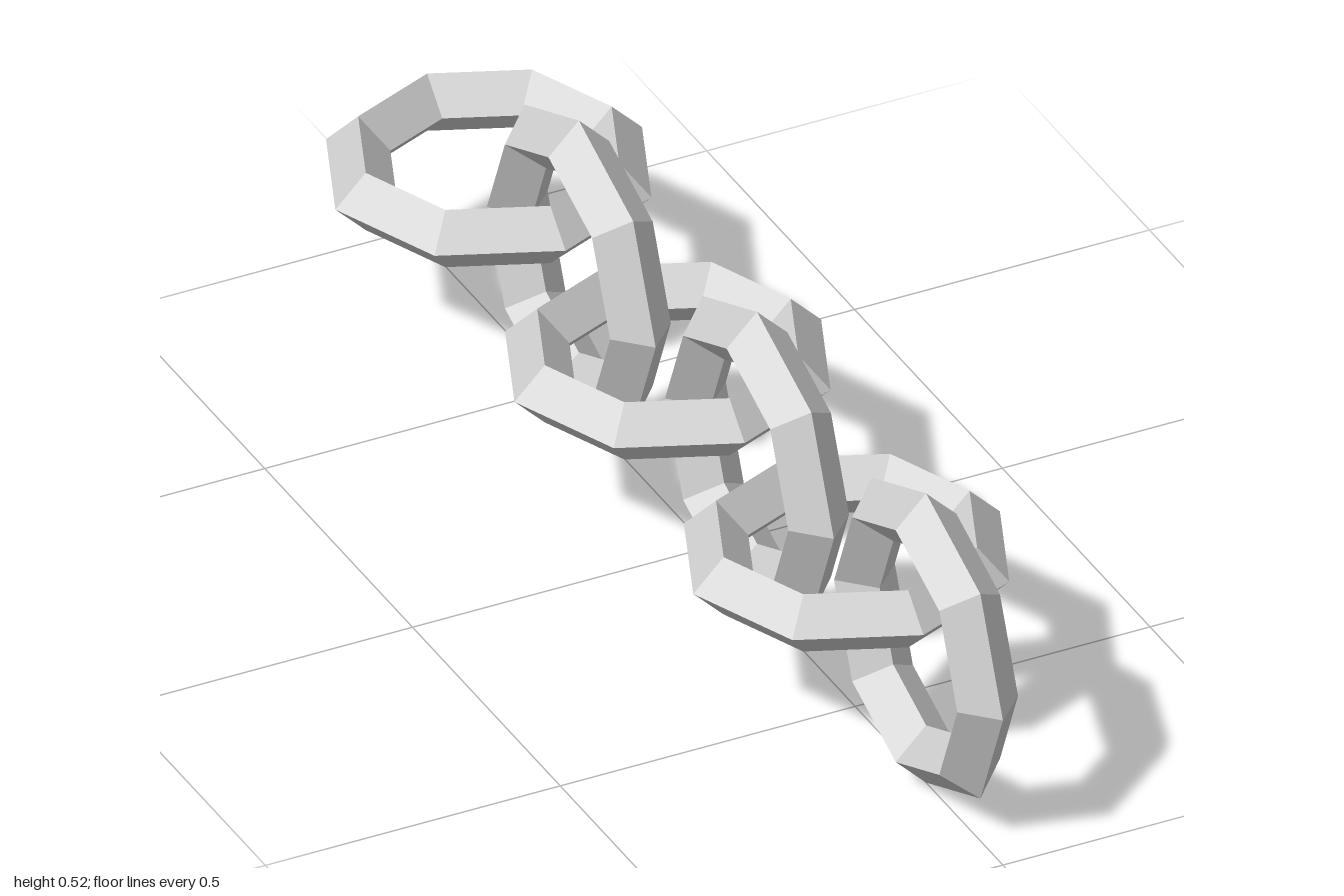
import * as THREE from 'three';

export function createModel() {
  const group = new THREE.Group();
  group.name = 'chain';
  const material = new THREE.MeshStandardMaterial({ color: 0xcccccc, flatShading: true });

  // One link: octagonal ring with a diamond cross-section
  const ring = 0.2085, tube = 0.0515;
  const upright = new THREE.TorusGeometry(ring, tube, 4, 8).rotateY(Math.PI / 2);
  const flat = new THREE.TorusGeometry(ring, tube, 4, 8).rotateX(Math.PI / 2);

  // Interlocking links, alternating upright and flat from front to back
  [0.74, 0.471, 0.168, -0.134, -0.435, -0.74].forEach((z, i) => {
    const link = new THREE.Mesh(i % 2 ? flat : upright, material);
    link.name = (i % 2 ? 'flatLink' : 'uprightLink') + (Math.floor(i / 2) + 1);
    link.position.set(0, ring + tube, z);
    group.add(link);
  });
  return group;
}
